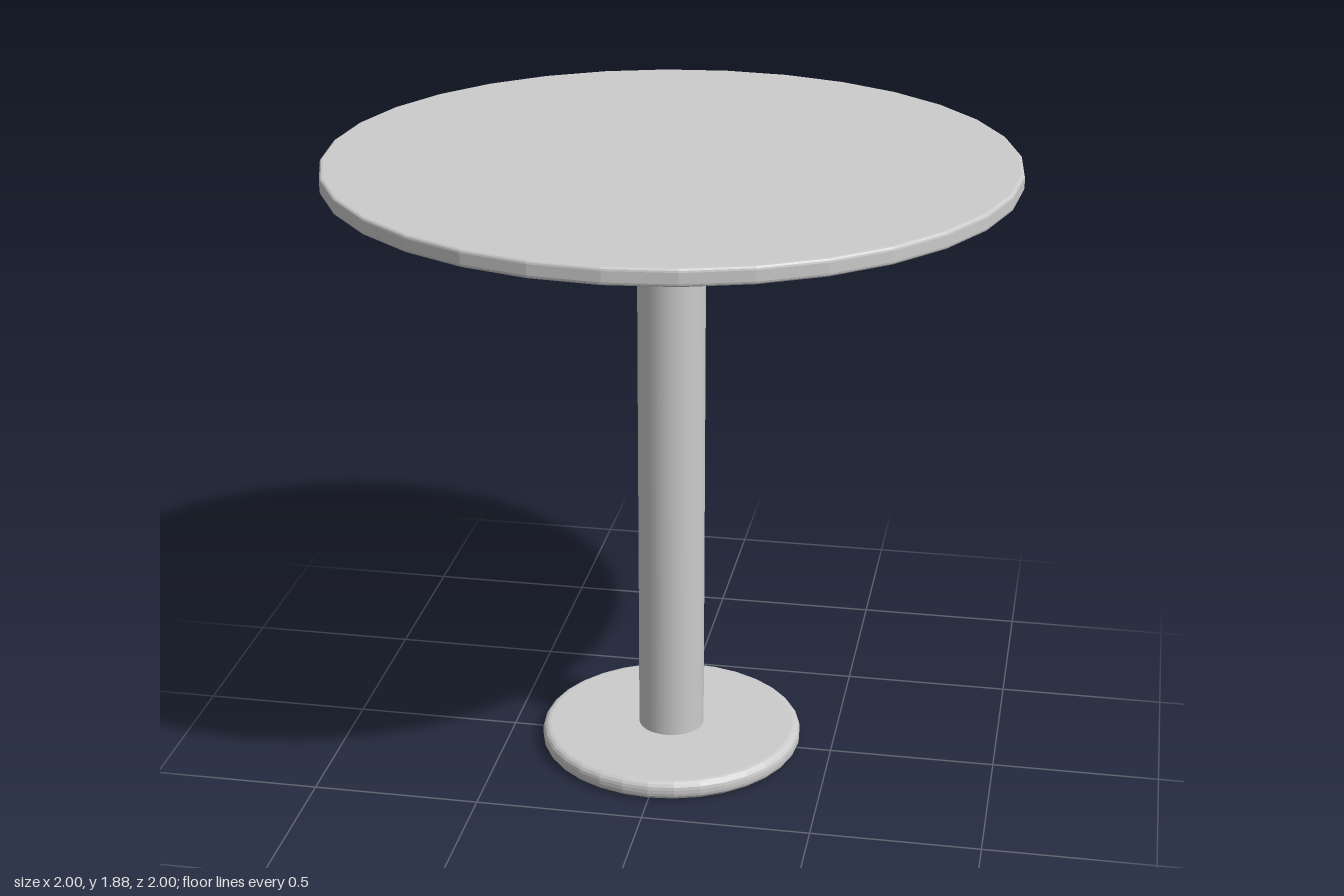
import * as THREE from 'three';

const SIDES = 32;

// Round slab with rolled upper and lower edges, turned around the y axis
function roundedDisc(name, radius, bottom, top, bevel, steps) {
  const profile = [new THREE.Vector2(0, bottom)];
  const arc = (centreY, from) => {
    for (let i = 0; i <= steps; i++) {
      const a = from + (i / steps) * Math.PI / 2;
      profile.push(new THREE.Vector2(
        radius - bevel + bevel * Math.cos(a),
        centreY + bevel * Math.sin(a)));
    }
  };
  arc(bottom + bevel, -Math.PI / 2);
  arc(top - bevel, 0);
  profile.push(new THREE.Vector2(0, top));

  const mesh = new THREE.Mesh(
    new THREE.LatheGeometry(profile, SIDES),
    new THREE.MeshStandardMaterial({ color: 0xcccccc, flatShading: true }));
  mesh.name = name;
  return mesh;
}

export function createModel() {
  const table = new THREE.Group();
  table.name = 'pedestalTable';

  // Wide top and small foot plate
  table.add(roundedDisc('tabletop', 1, 1.825, 1.875, 0.01, 3));
  table.add(roundedDisc('base', 0.4, 0, 0.06, 0.024, 4));

  // Smooth central column, ends sunk slightly into both discs
  const low = 0.05, high = 1.835;
  const column = new THREE.Mesh(
    new THREE.CylinderGeometry(0.1, 0.1, high - low, SIDES),
    new THREE.MeshStandardMaterial({ color: 0xcccccc }));
  column.position.y = (low + high) / 2;
  column.name = 'column';
  table.add(column);

  return table;
}
